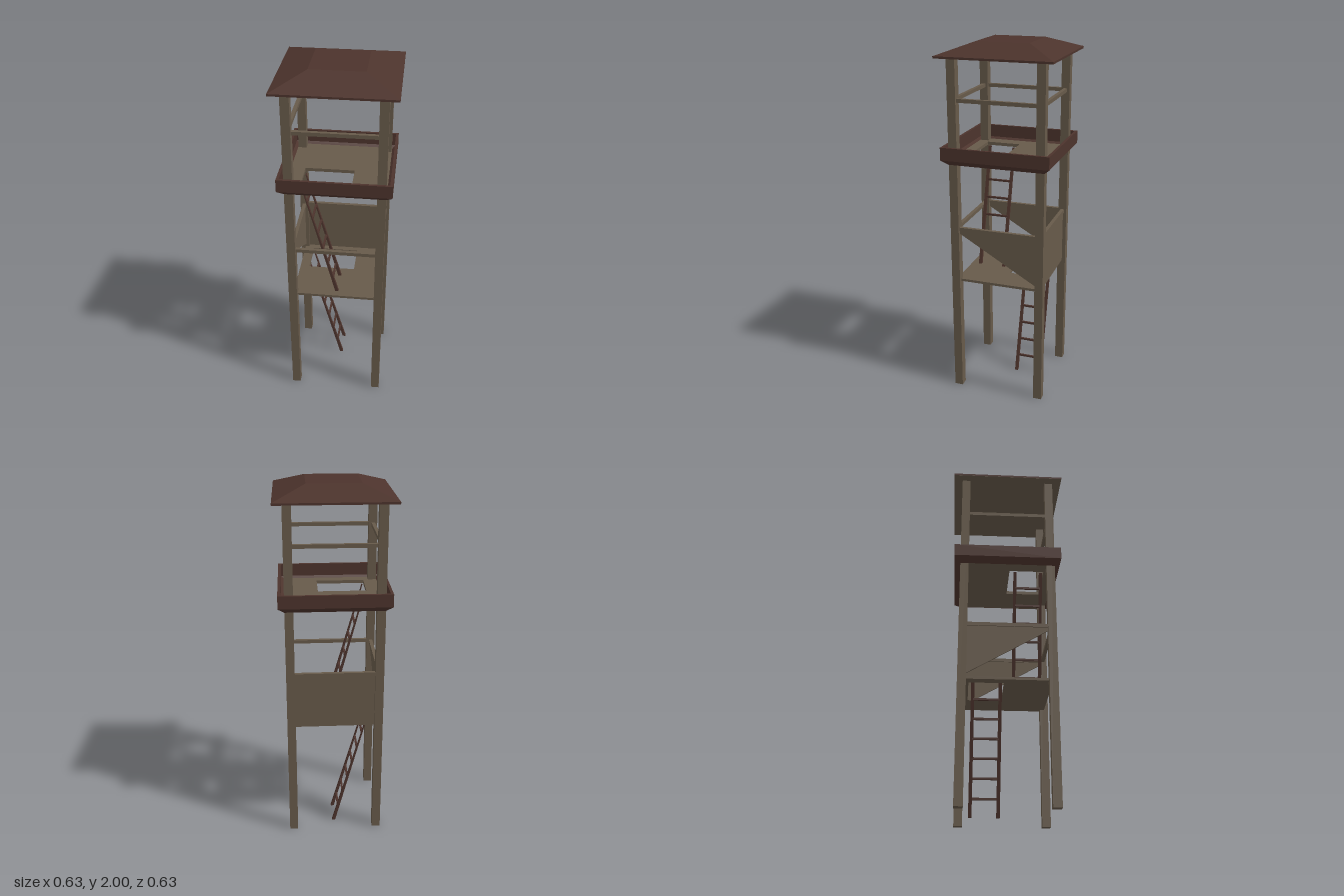
import * as THREE from 'three';

const wood = new THREE.MeshStandardMaterial({ color: 0x675a4a });
wood.name = 'weathered wood';
const redwood = new THREE.MeshStandardMaterial({ color: 0x4c332c });
redwood.name = 'dark red wood';

const POST = 0.2425; // post centre line

function add(parent, name, geometry, material, x = 0, y = 0, z = 0) {
  const mesh = new THREE.Mesh(geometry, material);
  mesh.name = name;
  mesh.position.set(x, y, z);
  parent.add(mesh);
  return mesh;
}

function polygon(points) {
  return new THREE.Shape(points.map(([x, y]) => new THREE.Vector2(x, y)));
}

function extrude(shape, depth) {
  return new THREE.ExtrudeGeometry(shape, { depth, bevelEnabled: false });
}

// Square ring or pyramid: four-sided lathe turned to face the axes
function squareLathe(profile) {
  const points = profile.map(([r, y]) => new THREE.Vector2(r * Math.SQRT2, y));
  const g = new THREE.LatheGeometry(points, 4).rotateY(Math.PI / 4).toNonIndexed();
  g.computeVertexNormals();
  return g;
}

// Square floor with a rectangular ladder hatch
function floorWithHatch(half, thickness, x0, x1, z0, z1) {
  const shape = polygon([[-half, -half], [half, -half], [half, half], [-half, half]]);
  shape.holes.push(polygon([[x0, -z0], [x0, -z1], [x1, -z1], [x1, -z0]]));
  return extrude(shape, thickness).rotateX(-Math.PI / 2);
}

// Four rails joining the posts at one height
function railRing(parent, name, y, size) {
  const ring = new THREE.Group();
  ring.name = name;
  for (const s of [-1, 1]) {
    add(ring, 'railAcross', new THREE.BoxGeometry(2 * POST, size, size), wood, 0, y, s * POST);
    add(ring, 'railAlong', new THREE.BoxGeometry(size, size, 2 * POST), wood, s * POST, y, 0);
  }
  parent.add(ring);
}

// Leaning ladder with tapered stringers
function ladder(parent, name, y, height, z) {
  const group = new THREE.Group();
  group.name = name;
  const stringer = polygon([[-0.005, 0], [0.013, 0], [-0.18, height], [-0.184, height]]);
  for (const s of [-1, 1]) {
    add(group, 'stringer', extrude(stringer, 0.018), redwood, 0, 0, s * 0.073 - 0.009);
  }
  for (let i = 0; i < 6; i++) {
    const h = 0.092 + i * 0.0995;
    const x = 0.004 - 0.186 * h / height;
    add(group, 'rung', new THREE.BoxGeometry(0.011, 0.011, 0.14), redwood, x, h, 0);
  }
  group.position.set(0, y, z);
  parent.add(group);
}

export function createModel() {
  const tower = new THREE.Group();
  tower.name = 'watchtower';

  // Corner posts
  for (const x of [-POST, POST]) {
    for (const z of [-POST, POST]) {
      add(tower, 'post', new THREE.BoxGeometry(0.047, 1.93, 0.047), wood, x, 0.965, z);
    }
  }

  // Middle landing with its rails
  add(tower, 'landingFloor', floorWithHatch(POST, 0.014, -0.19, 0.08, -0.205, -0.015), wood, 0, 0.672, 0);
  railRing(tower, 'landingRails', 0.99, 0.02);

  // Back wall and sloping side panels
  add(tower, 'backPanel', new THREE.BoxGeometry(2 * POST, 0.31, 0.008), wood, 0, 0.83, -POST);
  const side = polygon([[-POST, 0.69], [POST, 0.975], [POST, 0.985], [-POST, 0.985]]);
  for (const s of [-1, 1]) {
    add(tower, 'sidePanel', extrude(side, 0.008).rotateY(-Math.PI / 2), wood, s * POST + 0.004, 0, 0);
  }

  // Lookout deck, parapet and upper rails
  add(tower, 'lookoutFloor', floorWithHatch(0.268, 0.018, -0.19, 0.08, 0.015, 0.21), wood, 0, 1.362, 0);
  const parapet = [[0.266, 1.36], [0.3, 1.39], [0.3, 1.46], [0.285, 1.46],
    [0.285, 1.39], [0.264, 1.374], [0.266, 1.36]];
  add(tower, 'parapet', squareLathe(parapet), redwood);
  railRing(tower, 'lookoutRails', 1.705, 0.02);

  // Ladders
  ladder(tower, 'lowerLadder', 0, 0.68, -0.108);
  ladder(tower, 'upperLadder', 0.68, 0.68, 0.12);

  // Hipped roof with flat crown and wooden ceiling
  const roof = [[0.316, 1.926], [0.316, 1.937], [0.144, 2], [0, 2]];
  add(tower, 'roof', squareLathe(roof), redwood);
  add(tower, 'ceiling', new THREE.BoxGeometry(0.63, 0.006, 0.63), wood, 0, 1.929, 0);

  return tower;
}
